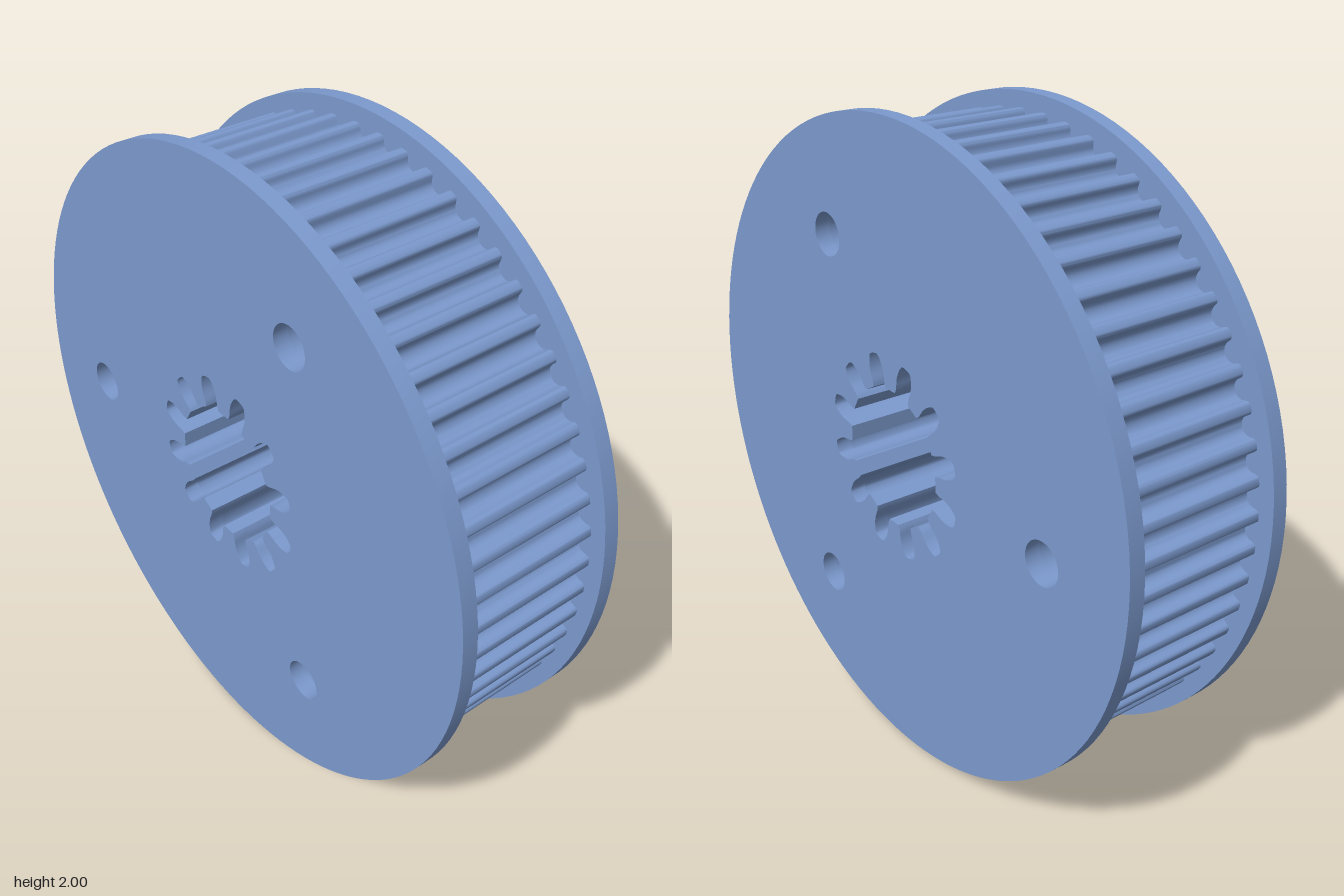
import * as THREE from 'three';
import { toCreasedNormals } from 'three/addons/utils/BufferGeometryUtils.js';

const HALF_BODY = 0.23, FLANGE = 0.05;

// Repeats a symmetric half profile of [sideways offset, radius] around a circle
function ring(count, half, startAngle) {
  const profile = [
    ...half.map(([t, r]) => [-t, r]),
    ...half.slice().reverse().filter(([t]) => t > 0),
  ];
  const points = [];
  for (let i = 0; i < count; i++) {
    const a = startAngle + (i / count) * Math.PI * 2;
    const c = Math.cos(a), s = Math.sin(a);
    for (const [t, r] of profile) {
      const d = Math.sqrt(r * r - t * t);
      points.push(new THREE.Vector2(d * c - t * s, d * s + t * c));
    }
  }
  return points;
}

function circle(x, y, radius, segments) {
  return Array.from({ length: segments }, (_, i) => {
    const a = (i / segments) * Math.PI * 2;
    return new THREE.Vector2(x + radius * Math.cos(a), y + radius * Math.sin(a));
  });
}

// Splined bore and three bolt holes, shared by body and flanges
function addHoles(shape) {
  const spline = ring(12, [
    [0.033, 0.217], [0.032, 0.224], [0.031, 0.233], [0.033, 0.248], [0.035, 0.265],
    [0.034, 0.28], [0.031, 0.293], [0.027, 0.304], [0.022, 0.313], [0.016, 0.317], [0, 0.318],
  ], Math.PI / 12);
  shape.holes.push(new THREE.Path(spline));
  for (const degrees of [117, 237, 357]) {
    const a = THREE.MathUtils.degToRad(degrees);
    shape.holes.push(new THREE.Path(circle(0.68 * Math.cos(a), 0.68 * Math.sin(a), 0.066, 32)));
  }
  return shape;
}

// Extrudes an outline along the x axle
function disc(name, outline, x, width, material) {
  const shape = addHoles(new THREE.Shape(outline));
  const extruded = new THREE.ExtrudeGeometry(shape, { depth: width, bevelEnabled: false });
  const geometry = toCreasedNormals(extruded, THREE.MathUtils.degToRad(40));
  geometry.rotateY(Math.PI / 2);
  const mesh = new THREE.Mesh(geometry, material);
  mesh.name = name;
  mesh.position.set(x, 1, 0);
  return mesh;
}

export function createModel() {
  const group = new THREE.Group();
  group.name = 'timingPulley';
  const blue = new THREE.MeshStandardMaterial({ color: 0x7c9ace });
  blue.name = 'steelBlue';

  // Toothed belt drum: sixty rounded grooves
  const grooves = ring(60, [
    [0.041, 0.952], [0.036, 0.950], [0.032, 0.945], [0.030, 0.937],
    [0.028, 0.929], [0.023, 0.920], [0.016, 0.914], [0.008, 0.911], [0, 0.910],
  ], 0);
  group.add(disc('toothedDrum', grooves, -HALF_BODY, HALF_BODY * 2, blue));

  // Flat retaining flanges
  const rim = circle(0, 0, 1, 128);
  group.add(disc('leftFlange', rim, HALF_BODY, FLANGE, blue));
  group.add(disc('rightFlange', rim, -HALF_BODY - FLANGE, FLANGE, blue));
  return group;
}
